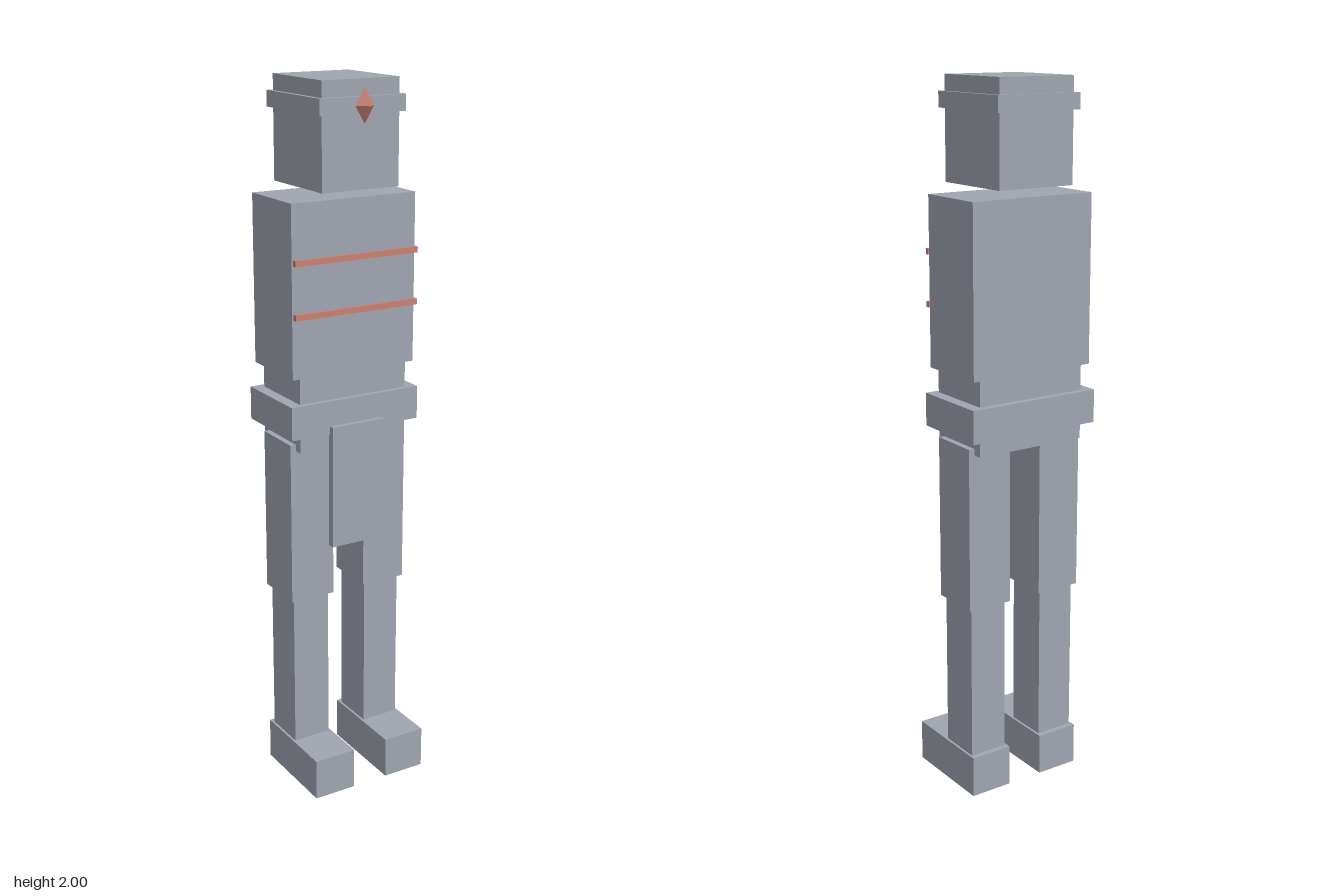
import * as THREE from 'three';

export function createModel() {
  const model = new THREE.Group();
  model.name = 'blockFigure';
  const stone = new THREE.MeshStandardMaterial({ color: 0xa0a5b1 });
  stone.name = 'stone grey';
  const copper = new THREE.MeshStandardMaterial({ color: 0xc88274 });
  copper.name = 'copper red';

  // Box given by its extents along each axis
  const block = (name, [x0, x1], [y0, y1], [z0, z1], material = stone, parent = model) => {
    const mesh = new THREE.Mesh(new THREE.BoxGeometry(x1 - x0, y1 - y0, z1 - z0), material);
    mesh.position.set((x0 + x1) / 2, (y0 + y1) / 2, (z0 + z1) / 2);
    mesh.name = name;
    parent.add(mesh);
    return mesh;
  };

  // Head with headband and gem
  block('head', [-0.116, 0.116], [1.72, 2], [-0.154, 0.099]);
  block('headband', [-0.129, 0.129], [1.914, 1.957], [-0.166, 0.11]);
  const gem = new THREE.Mesh(new THREE.OctahedronGeometry(0.028), copper);
  gem.name = 'gem';
  gem.scale.y = 1.63;
  gem.position.set(0, 1.935, 0.117);
  model.add(gem);

  // Torso, chest stripes, waist, belt and loincloth
  block('torso', [-0.19, 0.19], [1.228, 1.696], [-0.142, 0.069]);
  for (const y of [1.4, 1.543]) {
    block('chestStripe', [-0.189, 0.189], [y - 0.008, y + 0.008], [0.075, 0.087], copper);
  }
  block('waist', [-0.167, 0.167], [1.018, 1.228], [-0.136, 0.066]);
  block('belt', [-0.2, 0.2], [1.063, 1.156], [-0.155, 0.08]);
  block('loincloth', [-0.082, 0.082], [0.735, 1.085], [0.073, 0.094]);

  // Legs
  for (const side of [-1, 1]) {
    const leg = new THREE.Group();
    leg.name = side > 0 ? 'leftLeg' : 'rightLeg';
    leg.position.x = side * 0.117;
    block('thigh', [-0.067, 0.067], [0.57, 1.036], [-0.108, 0.041], stone, leg);
    block('shin', [-0.056, 0.056], [0.12, 0.57], [-0.097, 0.03], stone, leg);
    block('foot', [-0.063, 0.063], [0, 0.12], [-0.113, 0.164], stone, leg);
    model.add(leg);
  }
  return model;
}
